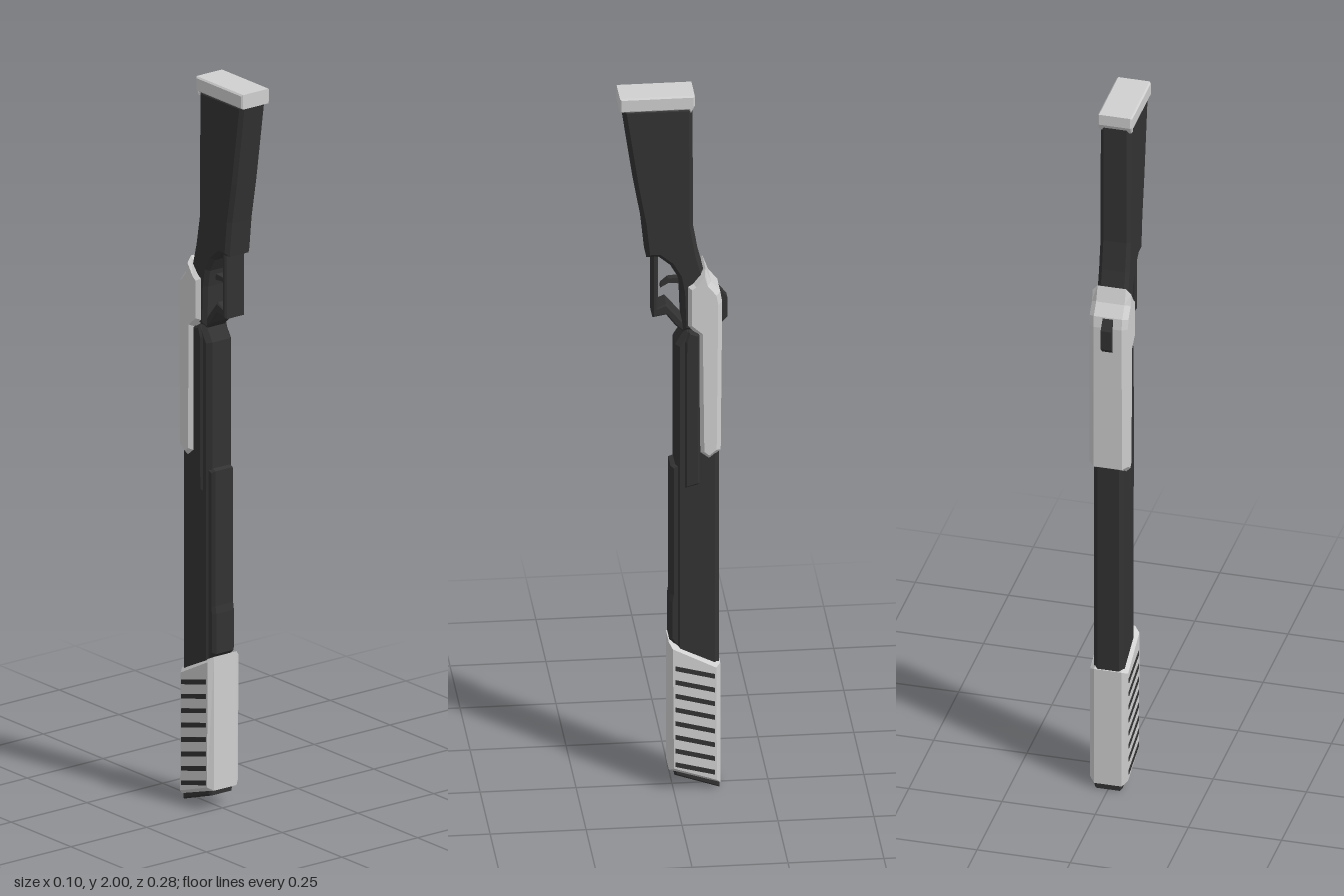
import * as THREE from 'three';

const black = new THREE.MeshStandardMaterial({ color: 0x333333 });
black.name = 'charcoal';
const grey = new THREE.MeshStandardMaterial({ color: 0xd0d0d0 });
grey.name = 'light grey';

// Side profile of [z, y] points, extruded across x to +-half, with chamfered sides.
function slab(name, points, half, material, chamfer = 0, inset = chamfer) {
  const shape = new THREE.Shape(points.map(([z, y]) => new THREE.Vector2(z, y)));
  const depth = 2 * (half - chamfer);
  const geometry = new THREE.ExtrudeGeometry(shape, {
    depth, bevelEnabled: chamfer > 0, bevelThickness: chamfer,
    bevelSize: inset, bevelOffset: -inset, bevelSegments: 1,
  });
  geometry.translate(0, 0, -depth / 2);
  geometry.rotateY(-Math.PI / 2);
  const mesh = new THREE.Mesh(geometry, material);
  mesh.name = name;
  return mesh;
}

export function createModel() {
  const model = new THREE.Group();
  model.name = 'longGun';

  // Shoulder stock with its pad
  model.add(
    slab('buttPad', [[-0.055, 1.97], [-0.045, 1.95], [-0.04, 1.96], [0.14, 1.96],
      [0.14, 2], [-0.055, 2]], 0.046, grey, 0.004),
    slab('stock', [[0.133, 1.965], [0.118, 1.86], [0.1, 1.74], [0.08, 1.63], [0.07, 1.535],
      [0.038, 1.535], [0.008, 1.51], [-0.012, 1.475], [-0.02, 1.43], [-0.024, 1.32],
      [-0.085, 1.32], [-0.083, 1.475], [-0.066, 1.54], [-0.052, 1.62], [-0.05, 1.965]],
    0.041, black, 0.01),
  );

  // Trigger guard: a flat strap bent around the trigger
  model.add(
    slab('triggerGuard', [[0.054, 1.545], [0.04, 1.545], [0.04, 1.387], [0.018, 1.397],
      [-0.005, 1.37], [-0.025, 1.345], [-0.04, 1.315], [-0.026, 1.315], [-0.005, 1.335],
      [0.018, 1.366], [0.054, 1.36]], 0.032, black, 0.004),
    slab('trigger', [[-0.018, 1.462], [0.012, 1.46], [0.03, 1.444], [0.032, 1.435],
      [0.01, 1.448], [-0.02, 1.445]], 0.01, black),
  );

  // Receiver cover, hammer and side rails
  model.add(
    slab('receiver', [[-0.083, 1.5], [-0.05, 1.46], [-0.035, 1.45], [-0.035, 1.335],
      [-0.063, 1.31], [-0.067, 0.97], [-0.092, 0.95], [-0.123, 0.975], [-0.127, 1.4],
      [-0.122, 1.43], [-0.098, 1.46]], 0.052, grey, 0.014, 0.012),
    slab('hammer', [[-0.105, 1.435], [-0.12, 1.43], [-0.143, 1.4], [-0.143, 1.345],
      [-0.128, 1.33], [-0.105, 1.33]], 0.014, black),
    slab('sideRail', [[-0.03, 1.29], [-0.04, 1.32], [-0.068, 1.31], [-0.068, 0.88],
      [-0.03, 0.87]], 0.046, black, 0.005),
  );

  // Barrel housing and the raised magazine cover on its front
  model.add(
    slab('barrelHousing', [[-0.005, 1.28], [-0.032, 1.325], [-0.1, 1.325], [-0.12, 1.3],
      [-0.12, 0.3], [-0.005, 0.3]], 0.041, black, 0.012),
    slab('magazineCover', [[-0.02, 0.94], [0.007, 0.93], [0.007, 0.56], [0.01, 0.54],
      [0.01, 0.43], [-0.02, 0.4]], 0.036, black, 0.008),
  );

  // Fore grip with slanted slots on both sides
  model.add(slab('foreGrip', [[0.012, 0.425], [-0.122, 0.36], [-0.122, 0.015], [0.012, 0.058]],
    0.051, grey, 0.014, 0.012));
  for (let i = 0; i < 8; i++) {
    const y = 0.085 + i * 0.0395;
    for (const side of [-1, 1]) {
      const slot = slab('gripSlot', [[-0.004, y], [-0.004, y - 0.013],
        [-0.106, y - 0.04], [-0.106, y - 0.027]], 0.002, black);
      slot.position.x = side * 0.0505;
      model.add(slot);
    }
  }

  // Muzzle block below the grip
  model.add(slab('muzzle', [[-0.003, 0.08], [-0.12, 0.04], [-0.12, 0], [-0.003, 0.04]],
    0.038, black, 0.006));
  return model;
}
